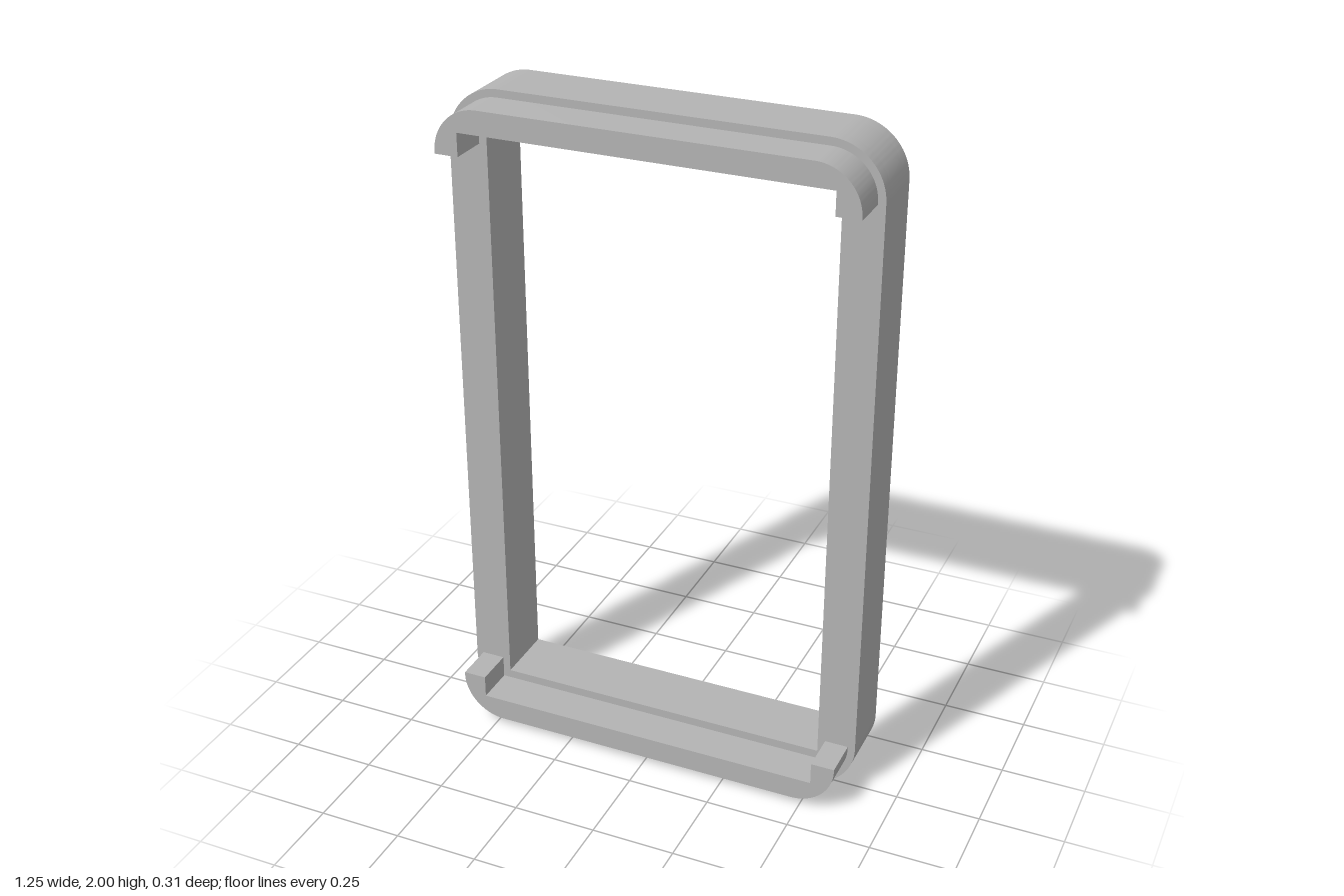
import * as THREE from 'three';
import { toCreasedNormals } from 'three/addons/utils/BufferGeometryUtils.js';

export function createModel() {
  const group = new THREE.Group();
  const grey = new THREE.MeshStandardMaterial({ color: 0xb4b4b4 });
  grey.name = 'grey';

  const add = (name, shape, z0, z1) => {
    const geo = new THREE.ExtrudeGeometry(shape, {
      depth: z1 - z0, bevelEnabled: false, curveSegments: 16,
    });
    const mesh = new THREE.Mesh(toCreasedNormals(geo, 0.5), grey);
    mesh.name = name;
    mesh.position.z = z0;
    group.add(mesh);
    return mesh;
  };

  // Screw hole positions on the back face
  const corners = [], edges = [];
  for (const x of [-0.547, 0.547]) {
    corners.push([x, 0.075], [x, 1.925]);
    edges.push([x, 0.692], [x, 1.308]);
  }
  edges.push([0, 0.075], [0, 1.925]);

  // Rounded rectangular outline with a square-cornered opening
  const frameShape = (screwHoles) => {
    const w = 0.625, h = 2, r = 0.155;
    const s = new THREE.Shape();
    s.moveTo(-w + r, 0);
    s.lineTo(w - r, 0);
    s.absarc(w - r, r, r, -Math.PI / 2, 0);
    s.lineTo(w, h - r);
    s.absarc(w - r, h - r, r, 0, Math.PI / 2);
    s.lineTo(-w + r, h);
    s.absarc(-w + r, h - r, r, Math.PI / 2, Math.PI);
    s.lineTo(-w, r);
    s.absarc(-w + r, r, r, Math.PI, Math.PI * 1.5);
    const o = new THREE.Path();
    o.moveTo(-0.51, 0.118);
    o.lineTo(-0.51, 1.882);
    o.lineTo(0.51, 1.882);
    o.lineTo(0.51, 0.118);
    o.closePath();
    s.holes.push(o);
    for (const [x, y] of screwHoles) {
      s.holes.push(new THREE.Path().absarc(x, y, 0.027, 0, Math.PI * 2, true));
    }
    return s;
  };

  // Frame in three slabs, so the corner holes go deeper than the edge holes
  add('frameBack', frameShape([...corners, ...edges]), -0.155, -0.115);
  add('frameMiddle', frameShape(corners), -0.115, -0.005);
  add('frameFront', frameShape([]), -0.005, 0.035);

  // Raised lip: a bar with hooked, rounded ends
  const w = 0.603, r = 0.13, top = 1.977, end = 1.84;
  const lip = new THREE.Shape();
  lip.moveTo(w, end);
  lip.lineTo(w, top - r);
  lip.absarc(w - r, top - r, r, 0, Math.PI / 2);
  lip.lineTo(-w + r, top);
  lip.absarc(-w + r, top - r, r, Math.PI / 2, Math.PI);
  lip.lineTo(-w, end);
  lip.lineTo(-0.533, end);
  lip.lineTo(-0.533, 1.908);
  lip.lineTo(0.533, 1.908);
  lip.lineTo(0.533, end);
  lip.closePath();
  add('topLip', lip, 0.035, 0.155);

  // The bottom lip is the top one turned half way round
  const bottom = add('bottomLip', lip, 0.035, 0.155);
  bottom.rotation.z = Math.PI;
  bottom.position.y = 2;

  return group;
}
